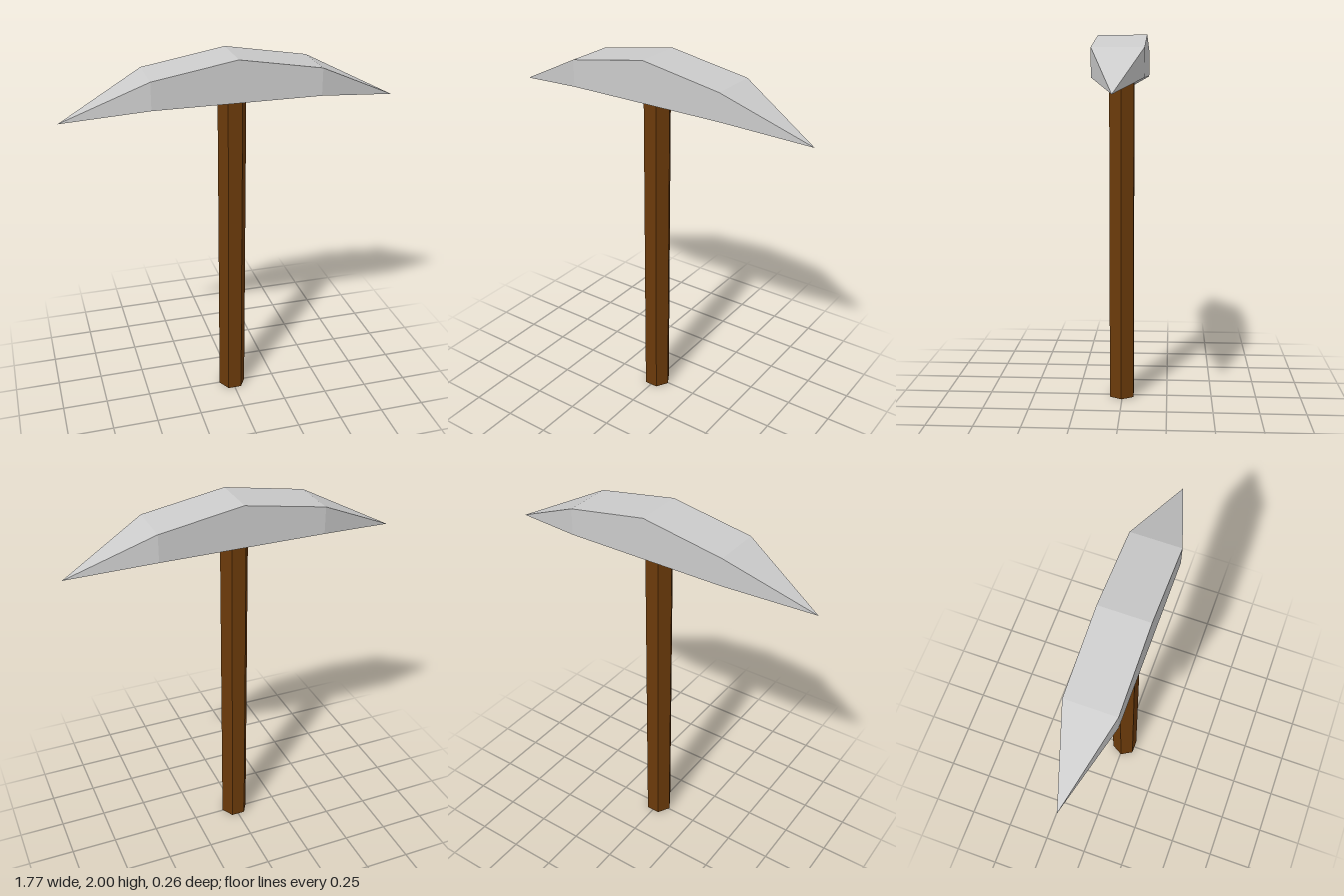
import * as THREE from 'three';

// Lengthwise stations of the head: [x, bottom, top, half depth]
const STATIONS = [
  [-0.885, 1.71, 1.71, 0],
  [-0.44, 1.78, 1.925, 0.131],
  [0, 1.78, 2, 0.131],
  [0.44, 1.78, 1.925, 0.131],
  [0.885, 1.71, 1.71, 0],
];

// A segmented box whose cross-sections follow the stations, closing to points
function headGeometry() {
  const geometry = new THREE.BoxGeometry(4, 1, 1, 4, 1, 1);
  const pos = geometry.attributes.position;
  for (let i = 0; i < pos.count; i++) {
    const [x, bottom, top, depth] = STATIONS[Math.round(pos.getX(i) + 2)];
    pos.setXYZ(i, x, pos.getY(i) > 0 ? top : bottom, Math.sign(pos.getZ(i)) * depth);
  }
  // The two end caps have collapsed, so leave them out
  geometry.setIndex(Array.from(geometry.index.array).slice(12));
  geometry.clearGroups();
  geometry.computeVertexNormals();
  return geometry;
}

export function createModel() {
  const model = new THREE.Group();
  model.name = 'pickaxe';

  const head = new THREE.Mesh(
    headGeometry(),
    new THREE.MeshStandardMaterial({ color: 0xcccccc, flatShading: true }),
  );
  head.name = 'head';

  // Hexagonal shaft with corners on the x axis, seated inside the head
  const height = 1.8;
  const shaft = new THREE.CylinderGeometry(0.076, 0.076, height, 6);
  shaft.rotateY(Math.PI / 6).translate(0, height / 2, 0.004);
  const handle = new THREE.Mesh(
    shaft,
    new THREE.MeshStandardMaterial({ color: 0x6b3a0a, flatShading: true }),
  );
  handle.name = 'handle';

  model.add(head, handle);
  return model;
}
